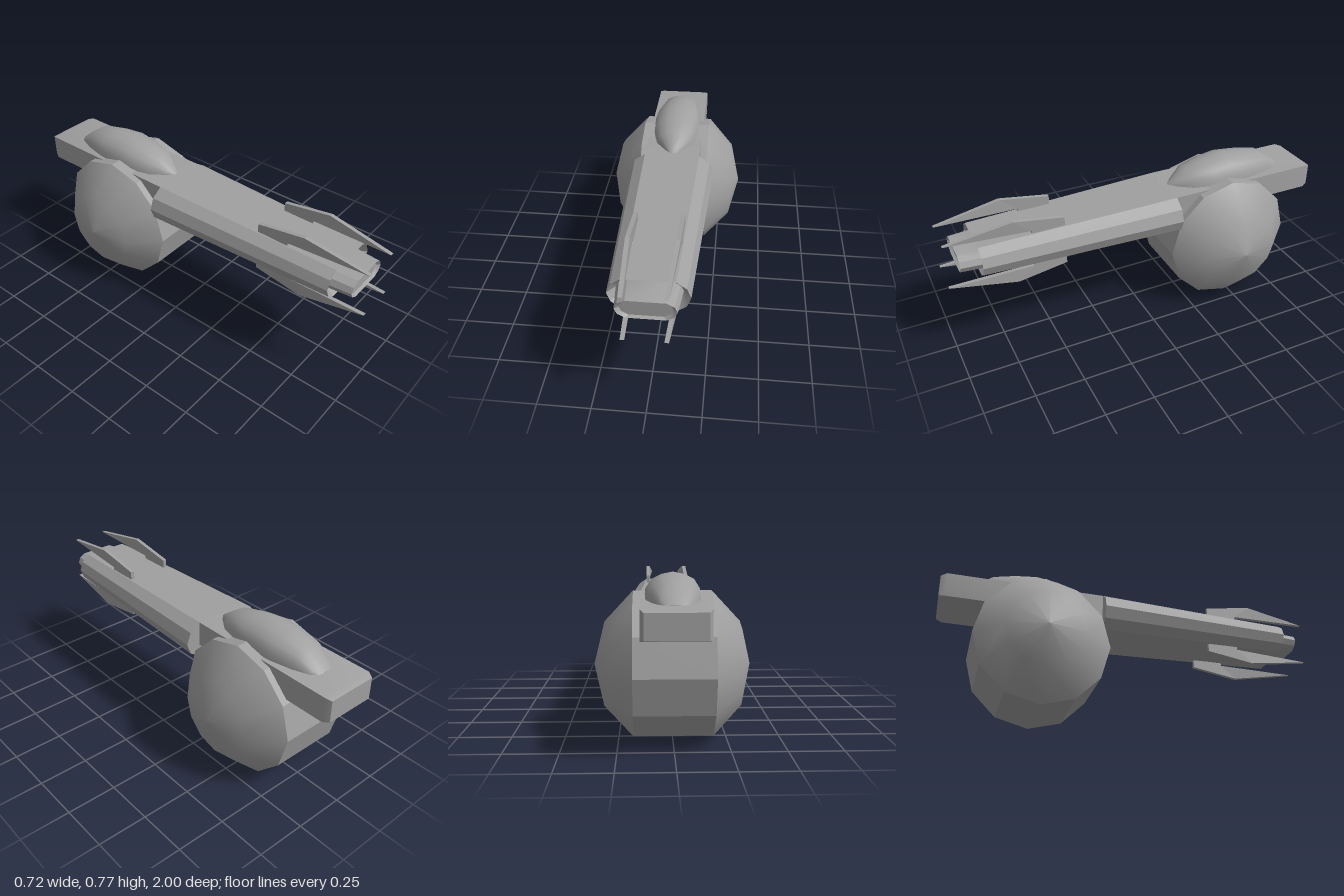
import * as THREE from 'three';
import { toCreasedNormals } from 'three/addons/utils/BufferGeometryUtils.js';

// Skin a list of rings (counter-clockwise from +z, back to front) and close both ends.
function loft(rings, crease) {
  const n = rings[0].length, pos = rings.flat(2), idx = [];
  for (let i = 0; i < rings.length - 1; i++) {
    for (let j = 0; j < n; j++) {
      const a = i * n + j, b = i * n + (j + 1) % n;
      idx.push(a, b, b + n, a, b + n, a + n);
    }
  }
  const last = (rings.length - 1) * n;
  for (let j = 1; j < n - 1; j++) {
    idx.push(0, j + 1, j);
    idx.push(last, last + j, last + j + 1);
  }
  const g = new THREE.BufferGeometry();
  g.setAttribute('position', new THREE.Float32BufferAttribute(pos, 3));
  g.setIndex(idx);
  return toCreasedNormals(g, crease);
}

// Faceted stadium ring used along the barrel
function stadium(w, h, z, y = 0.56) {
  const half = [[0.65, -1], [0.9, -0.6], [1, 0], [0.9, 0.6], [0.65, 1]];
  return [...half, ...half.map(([a, b]) => [-a, -b])].map(([a, b]) => [a * w, y + b * h, z]);
}

function rectangle(w, y0, y1, z) {
  return [[-w, y0, z], [w, y0, z], [w, y1, z], [-w, y1, z]];
}

// Canopy cross-section: a low roof with sloped shoulders
function canopyRing([z, w, top]) {
  const base = 0.645, y = (k) => base + k * (top - base);
  return [[1, 0], [0.95, 0.42], [0.75, 0.74], [0.4, 0.92], [0, 1],
    [-0.4, 0.92], [-0.75, 0.74], [-0.95, 0.42], [-1, 0]].map(([a, k]) => [a * w, y(k), z]);
}

// Upright blade drawn in the side plane, bending inward toward its tip
function finGeometry(side, up) {
  const outline = [[1, 0.115], [0.67, 0.17], [0.42, 0.13], [0.42, 0.085], [0.585, 0.085], [0.585, 0.1]];
  const s = new THREE.Shape(outline.map(([z, y]) => new THREE.Vector2(z, 0.56 + up * y)));
  const g = new THREE.ExtrudeGeometry(s, { depth: 0.02, bevelEnabled: false });
  g.rotateY(-Math.PI / 2); // outline runs along z, thickness along -x
  const p = g.attributes.position;
  for (let i = 0; i < p.count; i++) {
    const bend = Math.max(0, p.getZ(i) - 0.67) / 0.33 * 0.017;
    p.setX(i, p.getX(i) + 0.01 + side * (0.11 - bend));
  }
  g.computeVertexNormals();
  return g;
}

export function createModel() {
  const model = new THREE.Group();
  model.name = 'model';
  const grey = new THREE.MeshStandardMaterial({ color: 0xa0a0a0 });
  grey.name = 'hull grey';
  const add = (name, geometry, parent = model) => {
    const m = new THREE.Mesh(geometry, grey);
    m.name = name;
    parent.add(m);
    return m;
  };

  // Round drum lying across the rear, with domed ends
  const drum = new THREE.Group();
  drum.name = 'drum';
  drum.position.set(0, 0.345, -0.482);
  model.add(drum);
  const band = new THREE.CylinderGeometry(0.342, 0.342, 0.36, 12, 1, true).rotateZ(-Math.PI / 2);
  add('drumBand', toCreasedNormals(band, 0.3), drum);
  const profile = [[0.342, 0.18], [0.2, 0.312], [0, 0.361]].map(([r, y]) => new THREE.Vector2(r, y));
  for (const side of [1, -1]) {
    const cap = new THREE.LatheGeometry(profile, 12).rotateZ(-side * Math.PI / 2);
    add(side > 0 ? 'leftDrumCap' : 'rightDrumCap', cap, drum);
  }

  // Tapered barrel with a hollowed mouth
  add('barrel', loft([
    stadium(0.223, 0.098, -0.175), stadium(0.181, 0.079, 0.845), stadium(0.147, 0.05, 0.8),
  ], 0.5));

  // Nozzle standing out of the mouth, its end slightly sunk
  add('nozzle', loft([
    stadium(0.147, 0.05, 0.79), stadium(0.133, 0.046, 0.94), stadium(0.115, 0.04, 0.925),
  ], 0.5));

  // Long rear block with a slightly narrowed end
  add('rearBlock', loft([
    rectangle(0.13, 0.537, 0.648, -1), rectangle(0.145, 0.53, 0.658, -0.97),
    rectangle(0.145, 0.53, 0.658, -0.17),
  ], 0.6));

  // Canopy on top: z, half width, crest height
  const sections = [
    [-0.85, 0.045, 0.66], [-0.82, 0.07, 0.685], [-0.74, 0.1, 0.742], [-0.63, 0.123, 0.762],
    [-0.52, 0.13, 0.775], [-0.41, 0.123, 0.758], [-0.3, 0.095, 0.735], [-0.23, 0.045, 0.685],
    [-0.19, 0.008, 0.655],
  ];
  add('canopy', loft(sections.map(canopyRing), 0.8));

  // Four blades around the muzzle
  for (const side of [1, -1]) {
    for (const up of [1, -1]) {
      add((up > 0 ? 'upper' : 'lower') + (side > 0 ? 'Left' : 'Right') + 'Fin', finGeometry(side, up));
    }
  }
  return model;
}
